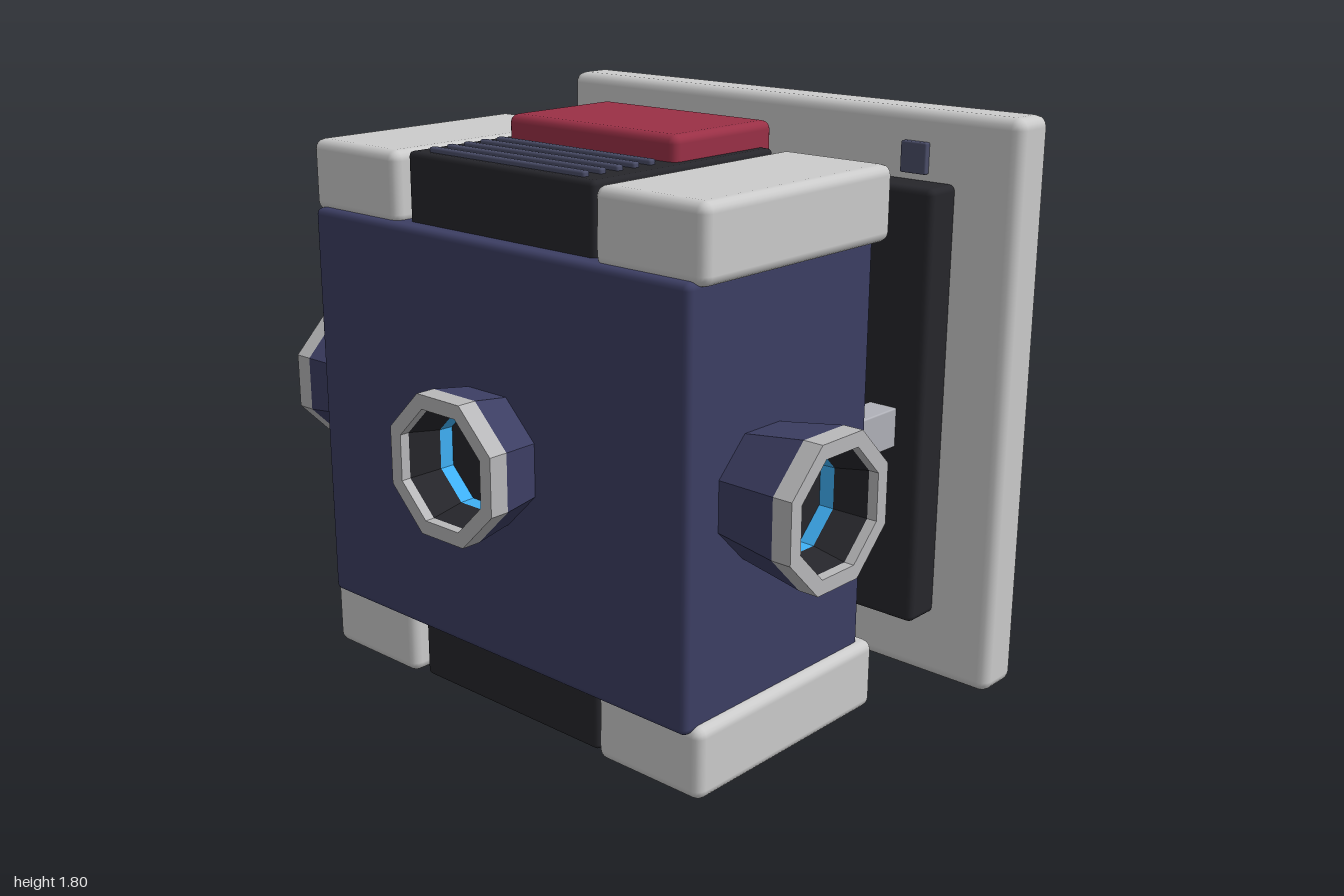
import * as THREE from 'three';
import { RoundedBoxGeometry } from 'three/addons/geometries/RoundedBoxGeometry.js';

const mat = (color, flatShading = false) => new THREE.MeshStandardMaterial({ color, flatShading });
const GREY = mat(0xcccccc), STEEL = mat(0xb0b1b8), NAVY = mat(0x3c3e63), RED = mat(0x9a3046);
const BLACK = mat(0x26262b), SLATE = mat(0x4a4d68);
const NAVY_FLAT = mat(0x3c3e63, true), GREY_FLAT = mat(0xb8b8ba, true);
const BLACK_FLAT = mat(0x26262b, true), BLUE_FLAT = mat(0x3fb0f5, true);

// Rounded block given by its extents along each axis
function block(parent, name, material, [x0, x1], [y0, y1], [z0, z1], radius = 0.02) {
  const geometry = new RoundedBoxGeometry(x1 - x0, y1 - y0, z1 - z0, 2, radius);
  const mesh = new THREE.Mesh(geometry, material);
  mesh.name = name;
  mesh.position.set((x0 + x1) / 2, (y0 + y1) / 2, (z0 + z1) / 2);
  parent.add(mesh);
  return mesh;
}

// Octagonal ring surface; profile is [half width across flats, height along axis]
function octagon(parent, name, material, profile) {
  const points = profile.map(([a, h]) => new THREE.Vector2(a / Math.cos(Math.PI / 8), h));
  const mesh = new THREE.Mesh(new THREE.LatheGeometry(points, 8, Math.PI / 8), material);
  mesh.name = name;
  mesh.rotation.x = Math.PI / 2;
  parent.add(mesh);
}

// Flared hollow port pointing along +z; its mouth lies at z = 0
function createPort(name, length) {
  const port = new THREE.Group();
  port.name = name;
  octagon(port, 'portShell', NAVY_FLAT, [[0.205 - 0.15 * (length - 0.06), -length], [0.205, -0.06]]);
  octagon(port, 'portRim', GREY_FLAT, [[0.205, -0.06], [0.205, 0], [0.163, 0], [0.163, -0.03]]);
  octagon(port, 'portBore', BLACK_FLAT, [[0.163, -0.03], [0.14, -0.125]]);
  octagon(port, 'portGlow', BLUE_FLAT, [[0.14, -0.125], [0.139, -0.17]]);
  octagon(port, 'portFloor', BLACK_FLAT, [[0.139, -0.17], [0, -0.17]]);
  return port;
}

export function createModel() {
  const model = new THREE.Group();
  model.name = 'wallMountedUnit';

  // Wall plate, backing and the neck that carries the housing
  block(model, 'wallPlate', GREY, [-0.895, 0.895], [0, 1.8], [-0.795, -0.635], 0.035);
  block(model, 'backing', BLACK, [-0.685, 0.685], [0.22, 1.59], [-0.65, -0.515]);
  block(model, 'neck', RED, [-0.445, 0.445], [0.46, 1.35], [-0.58, 0], 0.01);

  // Main housing
  block(model, 'housing', NAVY, [-0.74, 0.74], [0.285, 1.515], [-0.155, 0.62]);

  // Paired struts, clips and corner guards
  for (const s of [-1, 1]) {
    const span = (a, b) => (s > 0 ? [a, b] : [-b, -a]);
    block(model, 'strut', STEEL, span(0.495, 0.595), [0.785, 0.91], [-0.56, -0.1], 0.005);
    block(model, 'clip', SLATE, span(0.5, 0.59), [1.61, 1.705], [-0.66, -0.615], 0.005);
    for (const y of [[1.5, 1.715], [0.09, 0.305]]) {
      block(model, 'cornerGuard', GREY, span(0.39, 0.77), y, [-0.195, 0.595], 0.03);
    }
  }

  // Dark inserts between the guards
  block(model, 'topInsert', BLACK, [-0.367, 0.367], [1.49, 1.717], [-0.175, 0.565], 0.015);
  block(model, 'bottomInsert', BLACK, [-0.367, 0.367], [0.09, 0.31], [-0.175, 0.565], 0.015);

  // Red lid and the vent slats in front of it
  block(model, 'lid', RED, [-0.33, 0.33], [1.65, 1.79], [-0.215, 0.21], 0.025);
  for (let i = 0; i < 5; i++) {
    const z = 0.27 + i * 0.064;
    block(model, 'ventSlat', SLATE, [-0.305, 0.305], [1.705, 1.732], [z - 0.0125, z + 0.0125], 0.007);
  }

  // Ports on the front and both sides
  const front = createPort('frontPort', 0.2);
  front.position.set(0, 0.905, 0.8);
  model.add(front);
  for (const s of [-1, 1]) {
    const side = createPort('sidePort', 0.28);
    side.position.set(s, 0.905, 0.32);
    side.rotation.y = (s * Math.PI) / 2;
    model.add(side);
  }
  return model;
}
